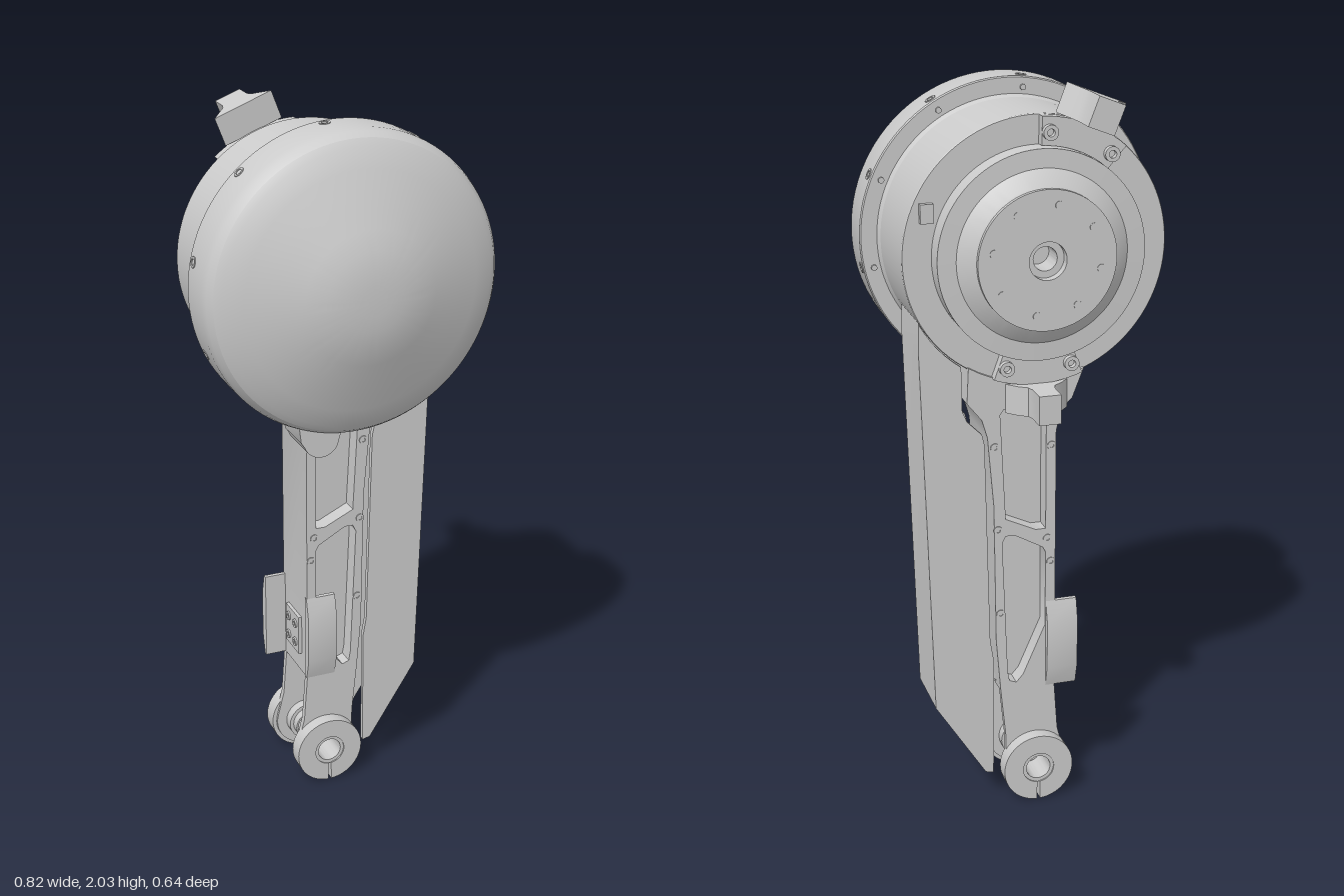
import * as THREE from 'three';
import { toCreasedNormals } from 'three/addons/utils/BufferGeometryUtils.js';

const HEAD_Y = 1.595, HUB_Y = 0.1, MID_Z = -0.1075;
const material = new THREE.MeshStandardMaterial({ color: 0xcccccc });

export function createModel() {
  const model = new THREE.Group();

  const add = (name, geometry, parent = model) => {
    const mesh = new THREE.Mesh(geometry, material);
    mesh.name = name;
    parent.add(mesh);
    return mesh;
  };
  // Points along an arc, angles in degrees
  const arc = (cx, cy, r, a0, a1, n = 12) => Array.from({ length: n + 1 }, (_, i) => {
    const a = THREE.MathUtils.degToRad(a0 + (a1 - a0) * i / n);
    return [cx + r * Math.cos(a), cy + r * Math.sin(a)];
  });
  const vectors = pts => pts.map(p => new THREE.Vector2(...p));
  // Flat outline with holes, extruded from z0 to z1
  const slab = (outline, holes, z0, z1) => {
    const shape = new THREE.Shape(vectors(outline));
    shape.holes = holes.map(h => new THREE.Path(vectors(h)));
    const g = new THREE.ExtrudeGeometry(shape, { depth: z1 - z0, bevelEnabled: false });
    return toCreasedNormals(g.translate(0, 0, z0), 0.5);
  };
  // Profile of [radius, z] turned about the z axis
  const turned = (profile, segments = 72) =>
    toCreasedNormals(new THREE.LatheGeometry(vectors(profile), segments).rotateX(Math.PI / 2), 0.35);
  const pin = (r, length, sides = 14) => new THREE.CylinderGeometry(r, r, length, sides).rotateX(Math.PI / 2);
  const ring = (ri, ro, z0, z1) => turned([[ri, z0], [ro, z0], [ro, z1], [ri, z1], [ri, z0]], 28);

  // Motor head: domed cap, drum, stepped rear flange with central bore
  const head = new THREE.Group();
  head.name = 'head';
  head.position.y = HEAD_Y;
  model.add(head);
  add('motorHousing', turned([
    [0, -0.2], [0.05, -0.2], [0.05, -0.295], [0.184, -0.295], [0.184, -0.283], [0.19, -0.28],
    [0.228, -0.25], [0.277, -0.248], [0.277, -0.19], [0.353, -0.19], [0.355, -0.187],
    [0.355, 0.045], [0.362, 0.058], [0.405, 0.058], [0.408, 0.062], [0.408, 0.165], [0.402, 0.185],
    [0.39, 0.203], [0.372, 0.216], [0.32, 0.238], [0.25, 0.264], [0.18, 0.291], [0.13, 0.308],
    [0.08, 0.317], [0.04, 0.32], [0, 0.32]], 96), head);
  add('boreCollar', ring(0.032, 0.051, -0.27, -0.2), head);

  // Screws around the cap rim, the drum step and the output disc
  for (let i = 0; i < 10; i++) {
    const a = THREE.MathUtils.degToRad(96 + i * 36);
    const rim = add('capScrew', ring(0.009, 0.015, -0.01, 0.003), head);
    rim.position.set(0.407 * Math.cos(a), 0.407 * Math.sin(a), 0.087);
    rim.rotation.set(0, Math.PI / 2, 0);
    rim.rotation.order = 'ZYX';
    rim.rotation.z = a;
    add('rimScrew', pin(0.008, 0.01), head).position.set(0.38 * Math.cos(a), 0.38 * Math.sin(a), 0.057);
  }
  for (let i = 0; i < 8; i++) {
    const a = i * Math.PI / 4 + 0.2;
    add('discScrew', pin(0.011, 0.008), head).position.set(0.145 * Math.cos(a), 0.145 * Math.sin(a), -0.293);
  }

  // Rear stop brackets: curved foot, flared post and two bolts
  for (const [angle, width] of [[0.37, 0.037], [Math.PI, 0.03]]) {
    const bracket = new THREE.Group();
    bracket.name = 'stopBracket';
    bracket.rotation.z = angle;
    head.add(bracket);
    add('bracketFoot', slab([...arc(0, 0, 0.352, 70, 110), ...arc(0, 0, 0.278, 110, 70)], [], -0.217, -0.188), bracket);
    const post = slab([[-0.085, 0.2], [0.085, 0.2], [0.06, 0.228], [width + 0.006, 0.245], [width, 0.265],
      [width, 0.322], [-width, 0.322], [-width, 0.265], [-width - 0.006, 0.245], [-0.06, 0.228]], [], 0, 0.08);
    add('bracketPost', post.rotateX(-Math.PI / 2).translate(0, 0.35, 0), bracket);
    for (const s of [-1, 1]) {
      add('bracketBolt', ring(0.01, 0.02, -0.232, -0.21), bracket).position.set(s * 0.088, 0.3, 0);
    }
  }
  // Small clip on the drum's rear edge
  add('drumClip', new THREE.BoxGeometry(0.035, 0.05, 0.02), head).position.set(0.29, 0.12, -0.195);

  // Cable lug below the cap
  add('capLug', slab([[-0.155, 1.24], [-0.148, 1.18], ...arc(-0.09, 1.18, 0.05, 200, 335), [-0.03, 1.21]],
    [], 0.062, 0.18));

  // Arm: frame with pockets on both faces and a floor between them
  const armOutline = [[-0.056, 0.34], [0.1, 0.34], [0.113, 0.5], [0.118, 0.9], [0.135, 1.1], [0.15, 1.15],
    [0.19, 1.2], ...arc(0, HEAD_Y, 0.35, 302, 248, 10), [-0.1, 1.19], [-0.07, 1.16], [-0.056, 1.1]];
  const upperPocket = [[-0.028, 0.82], [0, 0.82], [0.085, 0.86], [0.1, 1.16], [0.09, 1.175], [-0.02, 1.175], [-0.028, 1.165]];
  const lowerPocket = [[-0.028, 0.53], [0.035, 0.385], [0.055, 0.362], [0.075, 0.37], [0.08, 0.4], [0.095, 0.79],
    [0.085, 0.81], [0.06, 0.81], [-0.02, 0.765], [-0.028, 0.75]];
  add('armFrame', slab(armOutline, [upperPocket, lowerPocket], -0.2, -0.015));
  add('pocketFloor', new THREE.BoxGeometry(0.145, 0.84, 0.09)).position.set(0.03, 0.77, MID_Z);

  // Mirrored parts at the front and back of the arm
  const prong = [[-0.056, 0.34], [-0.066, 0.2], ...arc(0, HUB_Y, 0.088, 165, 375, 24), [0.086, 0.2], [0.1, 0.34]];
  const splitHub = [...arc(0, HUB_Y, 0.1, -87.5, 267.5, 48), ...arc(0, HUB_Y, 0.045, 265, -85, 32)];
  const coverSide = [[0.122, 0.085], [0.145, 0.09], [0.287, 0.315], [0.318, 1.36], [0.316, 1.432],
    ...arc(0, HEAD_Y, 0.357, 332, 305, 6), [0.203, 1.18], [0.19, 1.15], [0.15, 1.11], [0.143, 1.08], [0.13, 0.5], [0.12, 0.44]];
  const screws = [[-0.043, 1.06], [0.115, 1.07], [-0.033, 0.79], [0.107, 0.83], [0.1, 0.58], [-0.043, 0.72]];
  for (const s of [1, -1]) {
    // Spans are measured outward from the arm's middle plane
    const span = (d0, d1) => s > 0 ? [MID_Z + d0, MID_Z + d1] : [MID_Z - d1, MID_Z - d0];
    add('forkProng', slab(prong, [arc(0, HUB_Y, 0.044, 0, 345, 23)], ...span(0.074, 0.0925)));
    add('hubBoss', slab(splitHub, [], ...span(0.082, 0.13)));
    add('hubBushing', ring(0.035, 0.047, ...span(0.02, 0.126))).position.y = HUB_Y;
    add('innerBoss', ring(0.04, 0.058, ...span(0.045, 0.076))).position.y = HUB_Y;
    add('coverSide', slab(coverSide, [], ...span(0.078, 0.0925)));
    for (const [x, y] of screws) {
      add('armScrew', ring(0.006, 0.012, ...span(0.085, 0.0955))).position.set(x, y, 0);
    }
    // Thickened rail along the arm's edge
    const rail = slab([[0.08, 0.34], [0.0925, 0.34], [0.108, 0.4], [0.108, 0.54], [0.0925, 0.6], [0.08, 0.6]], [], -0.03, 0.058);
    rail.rotateY(-Math.PI / 2);
    if (s < 0) rail.rotateY(Math.PI).translate(-0.088, 0, 0);
    add('armRail', rail).position.set(0, 0, MID_Z).setX(0).x += 0;
  }
  add('axleSleeve', ring(0.034, 0.042, -0.14, -0.075)).position.y = HUB_Y;

  // Outer wall closing the cover channel, with narrow bevelled top
  add('coverWall', slab([[0.287, 0.315], [0.318, 1.36], [0.316, 1.432], [0.304, 1.41], [0.304, 1.36], [0.272, 0.3]], [], -0.188, -0.027));

  // Cable plate with four screws on the arm's side
  const plate = new THREE.Group();
  plate.name = 'cablePlate';
  plate.position.set(-0.058, 0.46, MID_Z);
  plate.rotation.y = -Math.PI / 2;
  model.add(plate);
  add('plateBody', new THREE.BoxGeometry(0.1, 0.12, 0.016), plate);
  for (const x of [-0.025, 0.025]) for (const y of [-0.03, 0.03]) {
    add('plateScrew', ring(0.006, 0.013, 0, 0.013), plate).position.set(x, y, 0);
  }
  return model;
}
